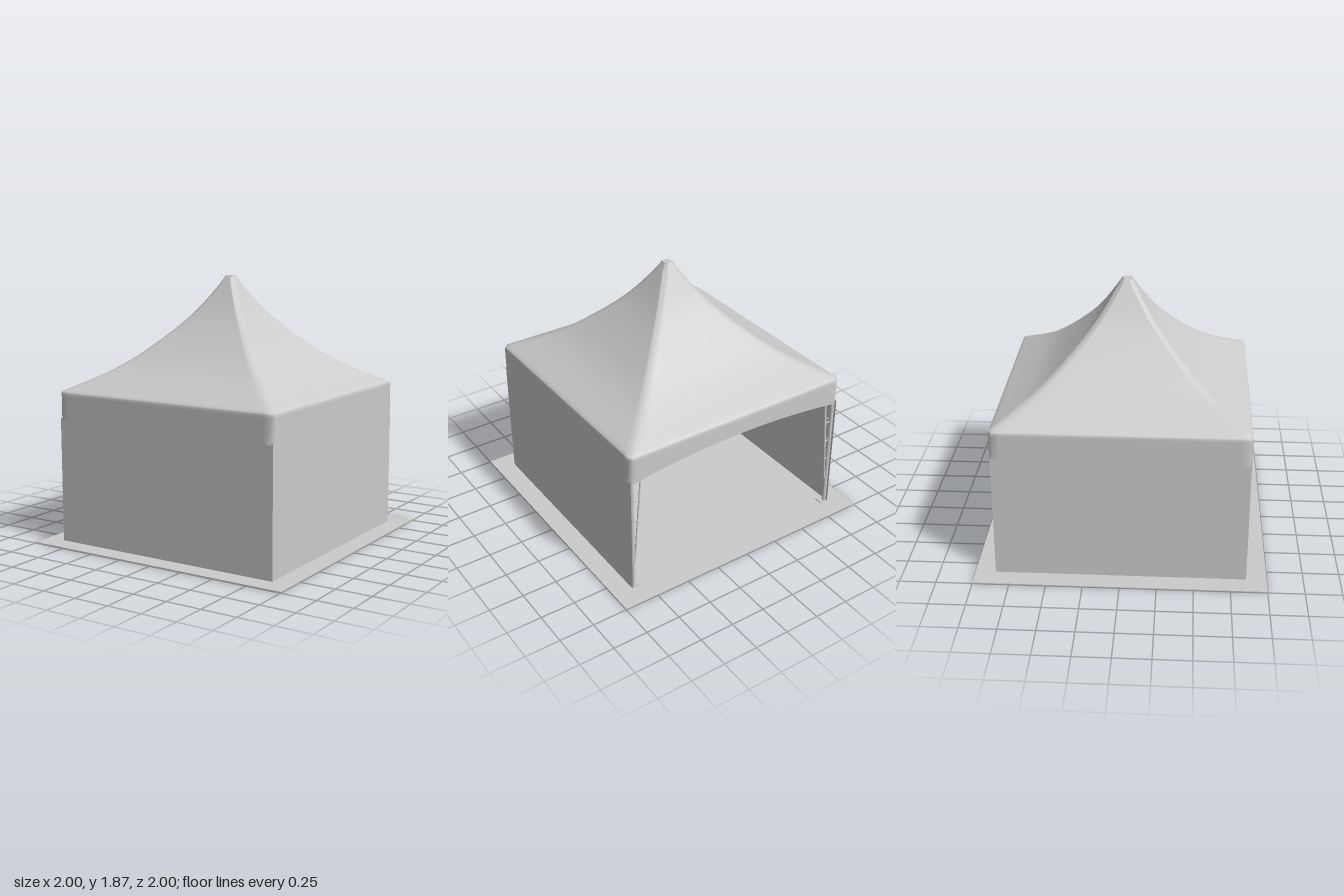
import * as THREE from 'three';

const mat = new THREE.MeshStandardMaterial({ color: 0xcccccc });
const cloth = new THREE.MeshStandardMaterial({ color: 0xcccccc, side: THREE.DoubleSide });

const HALF = 0.865;
// Arched lower edge of the valance
const archY = (x) => 0.945 - 0.065 * (x / 0.84) ** 2;

function add(parent, name, geometry, material = mat) {
  const mesh = new THREE.Mesh(geometry, material);
  mesh.name = name;
  parent.add(mesh);
  return mesh;
}

// Straight round tube between two points
function bar(parent, name, a, b, r) {
  const from = new THREE.Vector3(...a), to = new THREE.Vector3(...b);
  const dir = to.clone().sub(from);
  const mesh = add(parent, name, new THREE.CylinderGeometry(r, r, dir.length(), 8));
  mesh.position.copy(from).add(to).multiplyScalar(0.5);
  mesh.quaternion.setFromUnitVectors(new THREE.Vector3(0, 1, 0), dir.normalize());
}

// Square rings with cut corners, swept up a concave profile
function canopyGeometry() {
  const curve = new THREE.SplineCurve([
    [0.86, 1.08], [0.6, 1.228], [0.4, 1.395], [0.2, 1.61], [0.03, 1.87],
  ].map((p) => new THREE.Vector2(...p)));
  const rows = [[HALF, null], [HALF, 1.0], [HALF, 1.05], [HALF, 1.068],
    ...curve.getPoints(28).map((p) => [p.x, p.y])];
  const steps = [-1, -0.94, -0.8, -0.6, -0.4, -0.2, 0, 0.2, 0.4, 0.6, 0.8, 0.94, 1];
  const pos = [], index = [], n = steps.length * 4;
  for (const [h, y] of rows) {
    const cut = Math.min(0.025, h * 0.4);
    for (let side = 0; side < 4; side++) {
      for (const t of steps) {
        const x = t * (h - cut);
        const p = new THREE.Vector3(x, y ?? archY(x), h);
        p.applyAxisAngle(new THREE.Vector3(0, 1, 0), side * Math.PI / 2);
        pos.push(p.x, p.y, p.z);
      }
    }
  }
  for (let j = 0; j < rows.length - 1; j++) {
    for (let i = 0; i < n; i++) {
      const a = j * n + i, b = j * n + (i + 1) % n;
      index.push(a, b, b + n, a, b + n, a + n);
    }
  }
  const geometry = new THREE.BufferGeometry();
  geometry.setAttribute('position', new THREE.Float32BufferAttribute(pos, 3));
  geometry.setIndex(index);
  geometry.computeVertexNormals();
  return geometry;
}

// Flat wall sheet whose top follows the valance arch just behind it
function wallGeometry() {
  const w = 0.86, shape = new THREE.Shape();
  shape.moveTo(-w, 0.008);
  shape.lineTo(w, 0.008);
  for (let i = 0; i <= 20; i++) {
    const x = w - (2 * w * i) / 20;
    shape.lineTo(x, archY(x) + 0.015);
  }
  return new THREE.ShapeGeometry(shape);
}

export function createModel() {
  const tent = new THREE.Group();
  tent.name = 'tent';

  // Ground sheet with the inner floor
  add(tent, 'groundSheet', new THREE.BoxGeometry(2, 0.006, 2)).position.y = 0.005;
  add(tent, 'innerFloor', new THREE.BoxGeometry(1.72, 0.01, 1.72)).position.y = 0.005;

  // Canopy with valance, and its small flat top
  add(tent, 'canopy', canopyGeometry(), cloth);
  const cap = add(tent, 'peakCap', new THREE.BoxGeometry(0.058, 0.006, 0.058));
  cap.position.y = 1.868;

  // Walls on three sides, back left open
  [['frontWall', 0], ['leftWall', 1], ['rightWall', -1]].forEach(([name, turn]) => {
    const holder = new THREE.Group();
    holder.name = name;
    holder.rotation.y = turn * Math.PI / 2;
    add(holder, name + 'Sheet', wallGeometry(), cloth).position.z = 0.86;
    tent.add(holder);
  });

  // Frame: the same corner leg and eave beam, turned to each side
  const e = 0.842;
  for (let k = 0; k < 4; k++) {
    const frame = new THREE.Group();
    frame.name = 'frameSide' + (k + 1);
    frame.rotation.y = k * Math.PI / 2;
    tent.add(frame);

    bar(frame, 'cornerPost', [e, 0.01, e], [e, 1.05, e], 0.014);
    const foot = add(frame, 'footPlate', new THREE.BoxGeometry(0.06, 0.008, 0.06));
    foot.position.set(e - 0.015, 0.014, e - 0.015);
    bar(frame, 'eaveBeam', [-e, 1.045, e], [e, 1.045, e], 0.011);
    bar(frame, 'crossCable', [e, 1.04, e], [0, 1.04, 0], 0.005);

    // Slanted braces beside the post, tied to it by short rungs
    for (const [dx, dz] of [[1, 0], [0, 1]]) {
      const at = (y) => {
        const d = 0.015 + 0.065 * (y - 0.22) / 0.8;
        return [e - dx * d, y, e - dz * d];
      };
      bar(frame, 'legBrace', at(0.22), at(1.04), 0.006);
      for (const y of [0.4, 0.56, 0.72, 0.88]) {
        bar(frame, 'legRung', [e, y, e], at(y), 0.005);
      }
    }
  }

  // Centre pole holding up the peak
  bar(tent, 'peakPole', [0, 1.03, 0], [0, 1.86, 0], 0.016);
  return tent;
}
